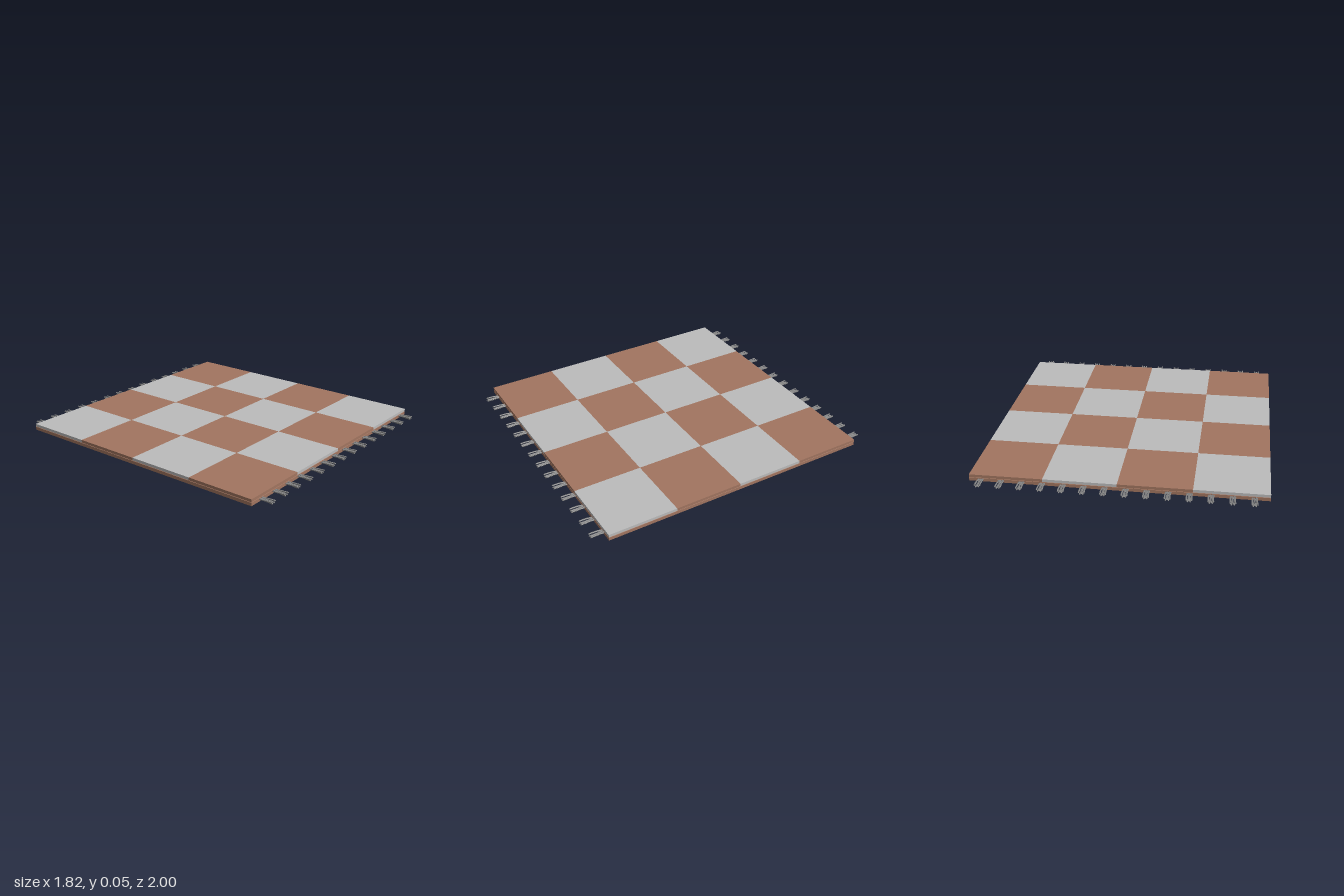
import * as THREE from 'three';

const HALF = 0.912;

export function createModel() {
  const rug = new THREE.Group();
  rug.name = 'checkeredRug';

  const brown = new THREE.MeshStandardMaterial({ color: 0xa27560 });
  brown.name = 'brown wool';
  const grey = new THREE.MeshStandardMaterial({ color: 0xbcbcbc });
  grey.name = 'light grey wool';
  const fringeGrey = new THREE.MeshStandardMaterial({ color: 0x858585 });
  fringeGrey.name = 'fringe grey';

  const add = (parent, geometry, material, name) => {
    const mesh = new THREE.Mesh(geometry, material);
    mesh.name = name;
    parent.add(mesh);
    return mesh;
  };

  // Backing: a square slab with bevelled lower edge and a shallow seam on top
  const profile = [[0, 0], [0.895, 0], [HALF, 0.008], [HALF, 0.029], [0.904, 0.032], [0, 0.032]]
    .map(([r, y]) => new THREE.Vector2(r * Math.SQRT2, y));
  const backing = new THREE.LatheGeometry(profile, 4, Math.PI / 4).toNonIndexed();
  backing.computeVertexNormals();
  add(rug, backing, brown, 'backing');

  // Checkered pile: four by four tiles
  const tile = HALF / 2;
  const tiles = new THREE.Group();
  tiles.name = 'checkeredTop';
  rug.add(tiles);
  const tileGeometry = new THREE.BoxGeometry(tile, 0.018, tile);
  for (let row = 0; row < 4; row++) {
    for (let col = 0; col < 4; col++) {
      const isGrey = (row + col) % 2 === 0;
      add(tiles, tileGeometry, isGrey ? grey : brown, isGrey ? 'greyTile' : 'brownTile')
        .position.set((col - 1.5) * tile, 0.041, (row - 1.5) * tile);
    }
  }

  // Fringe: bundles of thin strands [start x, end x, start y, end y]
  const strands = [
    [-0.014, -0.016, 0.019, 0.026],
    [-0.006, -0.009, 0.023, 0.016],
    [0.001, 0.001, 0.017, 0.022],
    [0.007, 0.008, 0.024, 0.017],
    [0.014, 0.016, 0.020, 0.026],
  ].map(([x0, x1, y0, y1], i) => {
    const wave = i % 2 ? 0.002 : -0.002;
    const path = new THREE.CatmullRomCurve3([
      new THREE.Vector3(x0, y0, 0),
      new THREE.Vector3((x0 + x1) / 2 + wave, (y0 + y1) / 2 - wave, 0.05),
      new THREE.Vector3(x1, y1, 0.095),
    ]);
    const tube = new THREE.TubeGeometry(path, 4, 0.0048, 5).toNonIndexed();
    tube.computeVertexNormals();
    return tube;
  });
  // Pointed tip that closes each strand
  const tip = new THREE.ConeGeometry(0.0048, 0.005, 5).rotateX(Math.PI / 2);
  const tips = [[-0.016, 0.026], [-0.009, 0.016], [0.001, 0.022], [0.008, 0.017], [0.016, 0.026]];

  for (const side of [1, -1]) {
    const fringe = new THREE.Group();
    fringe.name = side > 0 ? 'frontFringe' : 'backFringe';
    rug.add(fringe);
    for (let i = 0; i < 14; i++) {
      const tassel = new THREE.Group();
      tassel.name = 'tassel';
      strands.forEach((geometry, s) => {
        add(tassel, geometry, fringeGrey, 'strand');
        add(tassel, tip, fringeGrey, 'strandTip').position.set(tips[s][0], tips[s][1], 0.0975);
      });
      tassel.position.set(-0.82 + i * 0.1275, 0, side * 0.9);
      if (side < 0) tassel.rotation.y = Math.PI;
      fringe.add(tassel);
    }
  }
  return rug;
}
